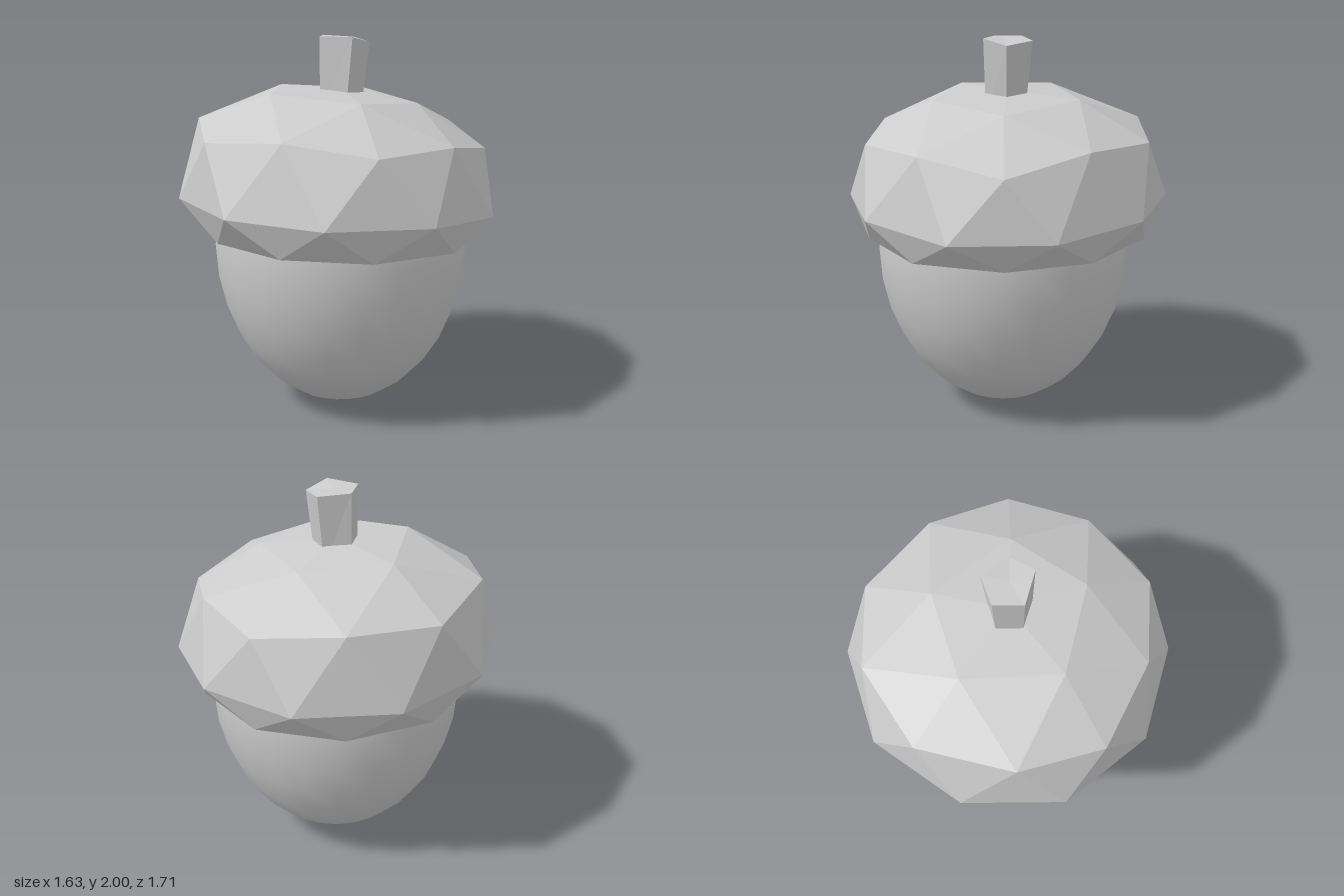
import * as THREE from 'three';

const grey = (options = {}) => new THREE.MeshStandardMaterial({ color: 0xcccccc, ...options });

// Faceted mesh from a list of triangles, each made of three [x, y, z] corners
function facetMesh(name, triangles) {
  const geometry = new THREE.BufferGeometry();
  geometry.setAttribute('position', new THREE.Float32BufferAttribute(triangles.flat(2), 3));
  geometry.computeVertexNormals();
  const mesh = new THREE.Mesh(geometry, grey({ flatShading: true }));
  mesh.name = name;
  return mesh;
}

// Nut: smooth ellipsoid bowl, its open rim hidden inside the cap
function createNut() {
  const start = Math.PI * 7 / 16;
  const geometry = new THREE.SphereGeometry(1, 24, 9, 0, Math.PI * 2, start, Math.PI - start);
  geometry.scale(0.68, 0.9, 0.68);
  const mesh = new THREE.Mesh(geometry, grey());
  mesh.position.set(0.005, 0.905, 0.02);
  mesh.name = 'nut';
  return mesh;
}

// Cap: hand-cut dome whose rings are staggered by half a step
function createCap() {
  const peak = [0, 1.73, 0];
  const crown = [
    [0.41, 1.655, 0.01], [0.14, 1.69, 0.38], [-0.33, 1.72, 0.26],
    [-0.35, 1.72, -0.24], [0.1, 1.69, -0.38],
  ];
  const shoulder = [
    [0.77, 1.42, 0], [0.6, 1.49, 0.42], [0.25, 1.48, 0.72], [-0.21, 1.54, 0.68], [-0.63, 1.5, 0.46],
    [-0.76, 1.565, 0.03], [-0.63, 1.53, -0.46], [-0.23, 1.55, -0.72], [0.23, 1.49, -0.73], [0.58, 1.51, -0.41],
  ];
  const brim = [
    [0.81, 1.11, 0.27], [0.52, 1.15, 0.69], [0.01, 1.16, 0.85], [-0.49, 1.17, 0.7], [-0.82, 1.175, 0.28],
    [-0.82, 1.17, -0.25], [-0.5, 1.17, -0.7], [0, 1.165, -0.86], [0.5, 1.15, -0.68], [0.81, 1.12, -0.25],
  ];
  const rim = [
    [0.72, 0.955, 0], [0.62, 0.965, 0.45], [0.23, 0.975, 0.72], [-0.22, 0.985, 0.72], [-0.58, 0.985, 0.46],
    [-0.77, 1, 0], [-0.61, 0.985, -0.45], [-0.23, 0.985, -0.72], [0.23, 0.98, -0.72], [0.6, 0.965, -0.43],
  ];
  const underside = [0, 0.98, 0];
  const triangles = [];
  for (let i = 0; i < 5; i++) {
    const a = crown[i], b = crown[(i + 1) % 5];
    const before = shoulder[(2 * i + 9) % 10], mid = shoulder[2 * i], after = shoulder[2 * i + 1];
    triangles.push([peak, b, a], [a, after, mid], [a, mid, before], [a, b, after]);
  }
  for (let k = 0; k < 10; k++) {
    const n = (k + 1) % 10;
    triangles.push(
      [shoulder[k], shoulder[n], brim[k]], [shoulder[n], brim[n], brim[k]],
      [brim[k], rim[n], rim[k]], [brim[k], brim[n], rim[n]],
      [underside, rim[k], rim[n]],
    );
  }
  return facetMesh('cap', triangles);
}

// Stem: slightly flared five-sided prism with an uneven top
function createStem() {
  const top = [
    [0.155, 1.97, 0], [0.075, 2, 0.12], [-0.1, 2, 0.07], [-0.1, 2, -0.08], [0.06, 1.988, -0.135],
  ];
  const bottom = [
    [0.11, 1.6, 0], [0.04, 1.6, 0.11], [-0.1, 1.6, 0.065], [-0.1, 1.6, -0.06], [0.035, 1.6, -0.095],
  ];
  const triangles = [];
  for (let k = 0; k < 5; k++) {
    const n = (k + 1) % 5;
    triangles.push([top[k], top[n], bottom[n]], [top[k], bottom[n], bottom[k]]);
    triangles.push([[0.02, 1.99, 0], top[n], top[k]], [[0.02, 1.6, 0], bottom[k], bottom[n]]);
  }
  return facetMesh('stem', triangles);
}

export function createModel() {
  const group = new THREE.Group();
  group.name = 'acorn';
  group.add(createNut(), createCap(), createStem());
  return group;
}
